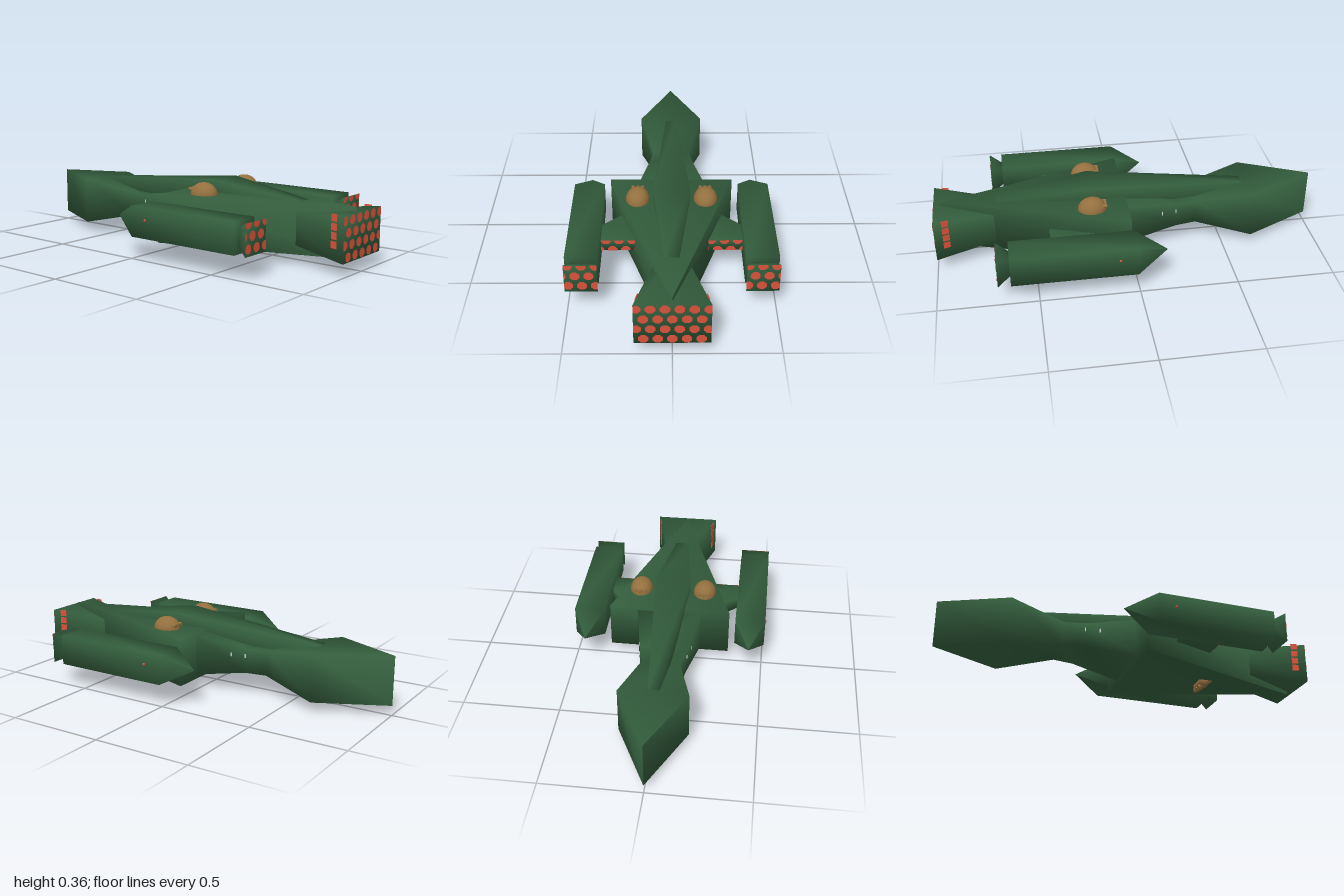
import * as THREE from 'three';

const mat = (name, color, side = THREE.FrontSide) => {
  const m = new THREE.MeshStandardMaterial({ color, side });
  m.name = name;
  return m;
};

export function createModel() {
  const green = mat('hull green', 0x335c3c);
  const red = mat('engine red', 0xd9523a, THREE.DoubleSide);
  const brown = mat('turret brown', 0x94703f);
  const white = mat('marker white', 0xd8d8d8);
  const ship = new THREE.Group();
  ship.name = 'spaceship';

  const add = (name, geometry, material, x = 0, y = 0, z = 0, parent = ship) => {
    const mesh = new THREE.Mesh(geometry, material);
    mesh.name = name;
    mesh.position.set(x, y, z);
    parent.add(mesh);
    return mesh;
  };

  // Smooth loft through rectangular sections [z, x0, x1, y0, y1], ordered by rising z
  const loft = (name, sections, material = green) => {
    const pos = [], idx = [];
    for (const [z, x0, x1, y0, y1] of sections) {
      pos.push(x0, y0, z, x1, y0, z, x1, y1, z, x0, y1, z);
    }
    const last = (sections.length - 1) * 4;
    for (let i = 0; i < last; i += 4) {
      for (let j = 0; j < 4; j++) {
        const a = i + j, b = i + (j + 1) % 4;
        idx.push(a, b, b + 4, a, b + 4, a + 4);
      }
    }
    idx.push(0, 2, 1, 0, 3, 2, last, last + 1, last + 2, last, last + 2, last + 3);
    const g = new THREE.BufferGeometry();
    g.setAttribute('position', new THREE.Float32BufferAttribute(pos, 3));
    g.setIndex(idx);
    g.computeVertexNormals();
    return add(name, g, material);
  };
  const centred = (z, w, y0, y1) => [z, -w, w, y0, y1];
  const sided = (s, z, a, b, y0, y1) => [z, Math.min(s * a, s * b), Math.max(s * a, s * b), y0, y1];

  // Staggered octagonal glow dots, cut off at the edges of a rear face
  const glowDots = (name, x0, x1, y0, y1, z) => {
    const shapes = [];
    for (let row = 0; row < 4; row++) {
      const cy = 0.262 - row * 0.057;
      for (let i = -9; i <= 9; i++) {
        const cx = 0.065 * (i + (row % 2 ? 0 : 0.5));
        if (cx + 0.02 < x0 || cx - 0.02 > x1 || cy + 0.02 < y0 || cy - 0.02 > y1) continue;
        const pts = [];
        for (let k = 0; k < 8; k++) {
          const a = (k + 0.5) * Math.PI / 4;
          pts.push(new THREE.Vector2(
            THREE.MathUtils.clamp(cx + 0.025 * Math.cos(a), x0, x1),
            THREE.MathUtils.clamp(cy + 0.024 * Math.sin(a), y0, y1)));
        }
        shapes.push(new THREE.Shape(pts));
      }
    }
    add(name, new THREE.ShapeGeometry(shapes), red, 0, 0, z);
  };

  // Wedge nose, neck and forward body
  loft('noseAndNeck', [
    centred(-1, 0.001, 0.05, 0.30),
    centred(-0.65, 0.172, 0.05, 0.297),
    centred(-0.36, 0.098, 0.113, 0.242),
    centred(-0.25, 0.12, 0.115, 0.242),
    centred(0.03, 0.172, 0.07, 0.285),
  ]);
  // Triangular main hull
  loft('mainHull', [centred(0.015, 0.317, 0.05, 0.30), centred(0.965, 0.001, 0.05, 0.30)]);
  // Raised spine along the top
  loft('spine', [
    centred(-0.62, 0.028, 0.2, 0.297),
    centred(0.2, 0.094, 0.2, 0.364),
    centred(0.68, 0.035, 0.2, 0.301),
  ]);
  // Flared main exhaust
  loft('mainExhaust', [centred(0.55, 0.052, 0.11, 0.24), centred(0.998, 0.174, 0.065, 0.285)]);
  glowDots('mainExhaustGlow', -0.174, 0.174, 0.065, 0.285, 0.9995);

  for (const s of [1, -1]) {
    const side = s > 0 ? 'left' : 'right';
    const range = (a, b) => s > 0 ? [a, b] : [-b, -a];

    // Swept pylon
    loft(side + 'Pylon', [
      sided(s, 0.13, 0.165, 0.18, 0.145, 0.205),
      sided(s, 0.30, 0.165, 0.36, 0.145, 0.205),
      sided(s, 0.42, 0.165, 0.36, 0.145, 0.205),
    ]);
    glowDots(side + 'PylonGlow', ...range(0.18, 0.35), 0.145, 0.205, 0.422);

    // Nacelle with pointed front and flared exhaust
    loft(side + 'Nacelle', [
      sided(s, -0.145, 0.427, 0.429, 0.192, 0.194),
      sided(s, 0.01, 0.35, 0.507, 0.113, 0.268),
      sided(s, 0.635, 0.35, 0.507, 0.113, 0.268),
    ]);
    loft(side + 'NacelleExhaust', [
      sided(s, 0.625, 0.39, 0.467, 0.155, 0.23),
      sided(s, 0.698, 0.35, 0.507, 0.113, 0.268),
    ]);
    glowDots(side + 'NacelleGlow', ...range(0.35, 0.507), 0.113, 0.268, 0.7);
    add(side + 'NacelleLight', new THREE.SphereGeometry(0.007, 10, 8), red, s * 0.507, 0.205, 0.1);

    // Domed turret with three short barrels
    const turret = new THREE.Group();
    turret.name = side + 'DomeTurret';
    turret.position.set(s * 0.172, 0.30, 0.197);
    ship.add(turret);
    add('dome', new THREE.SphereGeometry(0.06, 24, 10, 0, Math.PI * 2, 0, Math.PI / 2), brown, 0, 0, 0, turret)
      .scale.set(1, 1.02, 1.22);
    for (const x of [-0.024, 0, 0.024]) {
      add('barrel', new THREE.CylinderGeometry(0.01, 0.01, 0.03, 10), brown, x, 0.024, -0.058, turret)
        .rotation.x = Math.PI / 2;
    }

    // Red strip near the exhaust rim and small white markers
    for (let i = 0; i < 4; i++) {
      add(side + 'RimMark', new THREE.BoxGeometry(0.004, 0.034, 0.035), red,
        s * 0.158, 0.145 + i * 0.042, 0.94).rotation.y = s * 0.266;
    }
    for (const [x, z] of [[0.121, -0.25], [0.134, -0.175]]) {
      add(side + 'Marker', new THREE.BoxGeometry(0.005, 0.02, 0.005), white, s * x, 0.205, z);
    }
  }

  // Belly turret with three barrels angled forward and down
  loft('bellyTurret', [
    centred(0.415, 0.044, 0.022, 0.06),
    centred(0.445, 0.046, 0.018, 0.06),
    centred(0.485, 0.046, 0.046, 0.06),
  ], brown);
  for (const x of [-0.028, 0, 0.028]) {
    add('bellyBarrel', new THREE.CylinderGeometry(0.011, 0.011, 0.045, 10), brown, x, 0.023, 0.43)
      .rotation.x = 0.9;
  }
  return ship;
}
